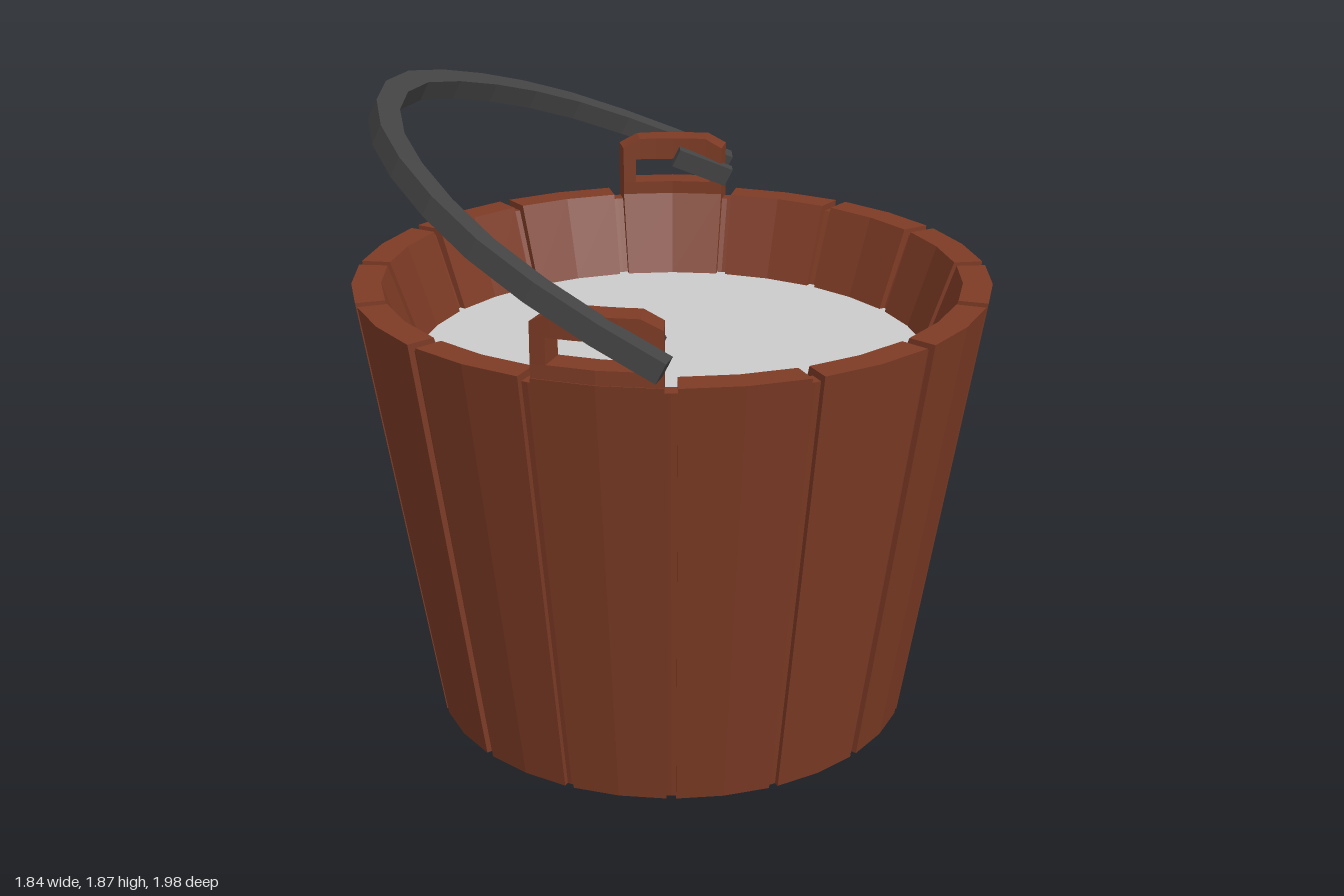
import * as THREE from 'three';

const wood = new THREE.MeshStandardMaterial({ color: 0x7d3b25, flatShading: true });
const iron = new THREE.MeshStandardMaterial({ color: 0x444444, flatShading: true });
const grey = new THREE.MeshStandardMaterial({ color: 0xcccccc });
const rad = THREE.MathUtils.degToRad;

function addMesh(parent, name, geometry, material) {
  const mesh = new THREE.Mesh(geometry, material);
  mesh.name = name;
  parent.add(mesh);
  return mesh;
}

// Sweeps an (r, y) outline around the y axis; angles in degrees, 0 = +z, 90 = +x.
// endDrop lowers the top corners at both ends, giving a chamfer.
function sector(outline, centre, width, steps, endDrop = 0) {
  const shape = new THREE.Shape(outline.map(([r, y]) => new THREE.Vector2(r, y)));
  const geo = new THREE.ExtrudeGeometry(shape, { depth: 1, steps, bevelEnabled: false });
  const top = Math.max(...outline.map((p) => p[1]));
  const pos = geo.attributes.position;
  for (let i = 0; i < pos.count; i++) {
    const r = pos.getX(i), t = pos.getZ(i);
    let y = pos.getY(i);
    const a = rad(centre + width / 2 - t * width);
    if ((t < 0.001 || t > 0.999) && y > top - 0.001) y -= endDrop;
    pos.setXYZ(i, r * Math.sin(a), y, r * Math.cos(a));
  }
  geo.computeVertexNormals();
  return geo;
}

const block = (r0, r1, y0, y1) => [[r0, y0], [r1, y0], [r1, y1], [r0, y1]];

// Rectangular bar along a list of points lying in the plane with normal n.
function bar(points, n, width, thick) {
  const verts = [], index = [];
  const last = points.length - 1;
  points.forEach((p, i) => {
    const tangent = points[Math.min(i + 1, last)].clone().sub(points[Math.max(i - 1, 0)]).normalize();
    const side = new THREE.Vector3().crossVectors(n, tangent).normalize();
    for (const [u, v] of [[-1, -1], [1, -1], [1, 1], [-1, 1]]) {
      const q = p.clone().addScaledVector(side, u * width / 2).addScaledVector(n, v * thick / 2);
      verts.push(q.x, q.y, q.z);
    }
  });
  for (let i = 0; i < last; i++) {
    for (let k = 0; k < 4; k++) {
      const a = i * 4 + k, b = i * 4 + (k + 1) % 4;
      index.push(a, b, b + 4, a, b + 4, a + 4);
    }
  }
  const e = last * 4;
  index.push(0, 2, 1, 0, 3, 2, e, e + 1, e + 2, e, e + 2, e + 3);
  const geo = new THREE.BufferGeometry();
  geo.setAttribute('position', new THREE.Float32BufferAttribute(verts, 3));
  geo.setIndex(index);
  geo.computeVertexNormals();
  return geo;
}

const vec = ([x, y, z]) => new THREE.Vector3(x, y, z);

export function createModel() {
  const model = new THREE.Group();
  model.name = 'bucket';

  // Fifteen tapered staves with narrow gaps between them
  const staves = new THREE.Group();
  staves.name = 'staves';
  model.add(staves);
  const staveOutline = [[0.6, 0], [0.715, 0], [0.925, 1.325], [0.84, 1.325], [0.755, 1.08]];
  const pitch = 24, staveWidth = 21.8;
  for (let i = 0; i < 15; i++) {
    addMesh(staves, 'stave', sector(staveOutline, i * pitch, staveWidth, 2), wood);
  }

  // Recessed wall that closes the gaps, a little lower than the rim
  const liner = [[0.62, 0], [0.7, 0], [0.905, 1.305], [0.86, 1.305], [0.775, 1.08]];
  addMesh(model, 'liner', sector(liner, 12, 360, 30), wood);

  // Base and contents
  const base = addMesh(model, 'base', new THREE.CircleGeometry(0.705, 30), wood);
  base.rotation.x = Math.PI / 2;
  base.position.y = 0.001;
  const contents = addMesh(model, 'contents', new THREE.CircleGeometry(0.78, 60), grey);
  contents.rotation.x = -Math.PI / 2;
  contents.position.y = 1.08;

  // Two raised staves, each with a window for the handle
  for (const angle of [-24, 168]) {
    const ear = new THREE.Group();
    ear.name = 'ear';
    model.add(ear);
    const post = 2.7;
    addMesh(ear, 'earSill', sector(block(0.84, 0.922, 1.32, 1.365), angle, staveWidth, 2), wood);
    addMesh(ear, 'earTop', sector(block(0.84, 0.922, 1.44, 1.508), angle, staveWidth, 6, 0.03), wood);
    for (const s of [-1, 1]) {
      const centre = angle + s * (staveWidth - post) / 2;
      addMesh(ear, 'earPost', sector(block(0.84, 0.922, 1.365, 1.44), centre, post, 1), wood);
    }
  }

  // Arched handle, swung over to one side
  const normal = new THREE.Vector3(0.417, 0.9, 0.132).normalize();
  const path = new THREE.CatmullRomCurve3([
    [-0.22, 1.395, 0.955], [-0.44, 1.52, 0.83], [-0.63, 1.64, 0.64], [-0.77, 1.755, 0.35],
    [-0.81, 1.82, 0], [-0.72, 1.825, -0.36], [-0.5, 1.755, -0.65], [-0.18, 1.63, -0.89],
    [0.13, 1.5, -0.955], [0.385, 1.39, -0.925],
  ].map(vec));
  addMesh(model, 'handle', bar(path.getSpacedPoints(16), normal, 0.07, 0.06), iron);

  // Inner end plates and the pins joining them to the handle through the windows
  const ends = [
    { plate: [[-0.31, 1.45, 0.775], [-0.19, 1.39, 0.745]], pin: [[-0.25, 1.405, 0.93], [-0.25, 1.41, 0.76]] },
    { plate: [[0.18, 1.455, -0.795], [0.35, 1.385, -0.775]], pin: [[0.31, 1.405, -0.92], [0.31, 1.405, -0.78]] },
  ];
  for (const { plate, pin } of ends) {
    addMesh(model, 'handleEndPlate', bar(plate.map(vec), normal, 0.04, 0.06), iron);
    addMesh(model, 'handlePin', bar(pin.map(vec), new THREE.Vector3(0, 1, 0), 0.04, 0.04), iron);
  }
  return model;
}
